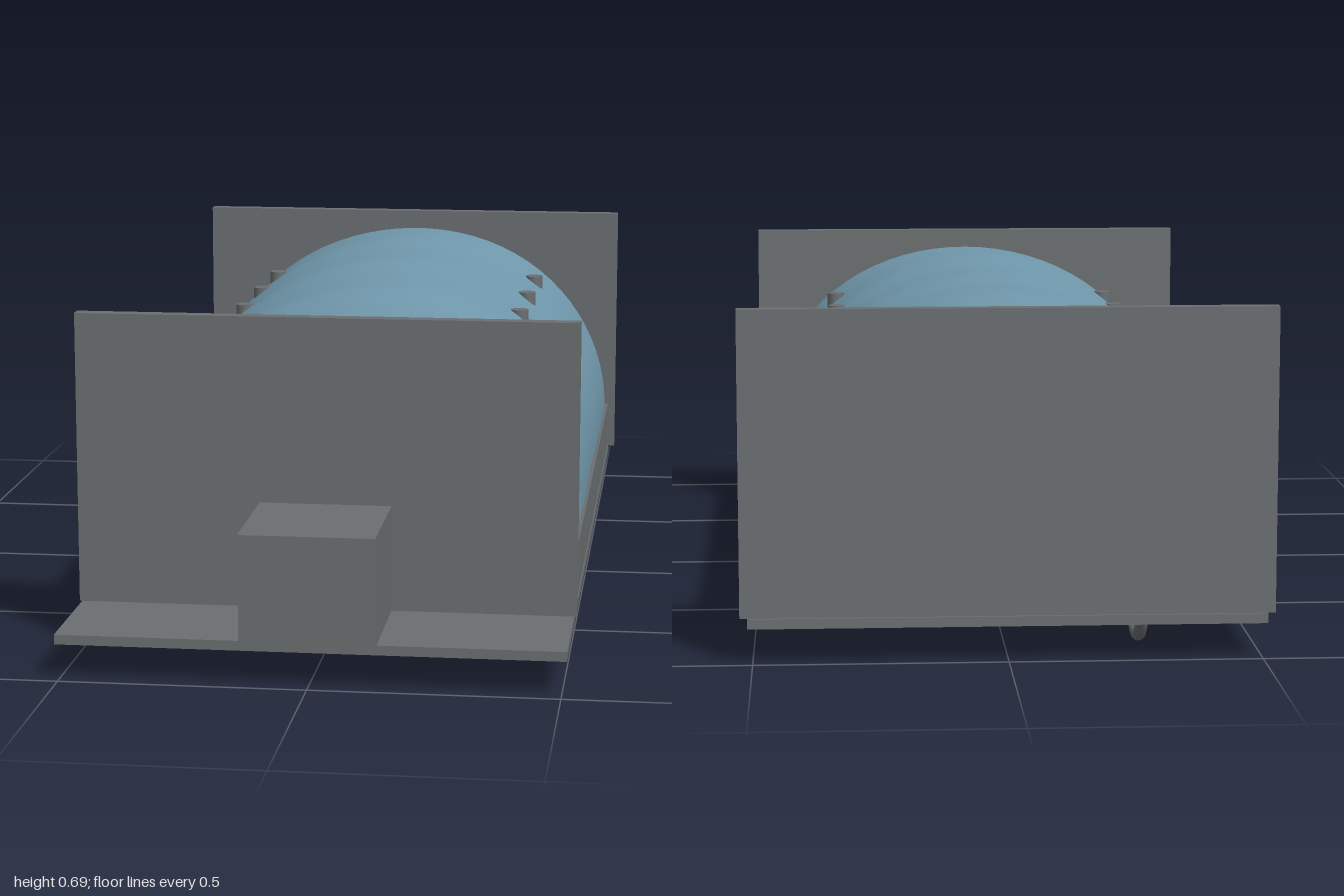
import * as THREE from 'three';

const grey = new THREE.MeshStandardMaterial({ color: 0x6a6f71 });
grey.name = 'grey';
const blue = new THREE.MeshStandardMaterial({ color: 0x7098ac, side: THREE.DoubleSide });
blue.name = 'canvas blue';

export function createModel() {
  const model = new THREE.Group();

  const add = (name, geometry, material, x = 0, y = 0, z = 0) => {
    const mesh = new THREE.Mesh(geometry, material);
    mesh.name = name;
    mesh.position.set(x, y, z);
    model.add(mesh);
    return mesh;
  };
  // Box given by its half width and its y and z ranges
  const slab = (name, halfX, y0, y1, z0, z1) =>
    add(name, new THREE.BoxGeometry(halfX * 2, y1 - y0, z1 - z0), grey, 0, (y0 + y1) / 2, (z0 + z1) / 2);

  slab('basePlate', 0.51, 0.07, 0.09, -0.995, 0.98);
  slab('sideWalls', 0.508, 0.09, 0.2, -0.96, 0.69);
  slab('frontPanel', 0.515, 0.09, 0.695, 0.69, 0.72);
  slab('backPanel', 0.525, 0.09, 0.695, -0.99, -0.96);
  slab('frontBox', 0.136, 0.09, 0.297, 0.72, 0.995);
  slab('frontBoxLid', 0.136, 0.297, 0.31, 0.72, 1.0);

  // Arched cover, gently rumpled
  const cover = new THREE.PlaneGeometry(1, 1, 40, 56);
  const p = cover.attributes.position;
  for (let i = 0; i < p.count; i++) {
    const angle = (0.5 - p.getX(i)) * Math.PI;
    const z = -0.135 - p.getY(i) * 1.65;
    const rumple = 0.004 * Math.sin(z * 7 + angle * 2.3) + 0.003 * Math.sin(z * 15 - angle * 4.1 + 1);
    const r = 1 + rumple * (0.4 + Math.sin(angle));
    p.setXYZ(i, Math.cos(angle) * 0.5 * r, 0.2 + Math.sin(angle) * 0.452 * r, z);
  }
  cover.computeVertexNormals();
  add('cover', cover, blue);

  // Two rows of pegs poking through the cover
  const peg = new THREE.CylinderGeometry(0.021, 0.021, 0.08, 16);
  for (const x of [-0.326, 0.324])
    for (let i = 0; i < 6; i++) add('peg', peg, grey, x, 0.518, 0.515 - i * 0.26);

  // Half rings hanging under the plate
  const hook = (name, radius, tube, x, y, z, turn) => {
    const ring = new THREE.TorusGeometry(radius, tube, 12, 32, Math.PI).rotateZ(Math.PI).rotateY(turn);
    add(name, ring, grey, x, y, z);
  };
  hook('frontHook', 0.079, 0.01, 0.335, 0.109, 0.59, 0);
  hook('backHook', 0.1, 0.013, -0.27, 0.113, -0.82, Math.PI / 2);

  return model;
}
